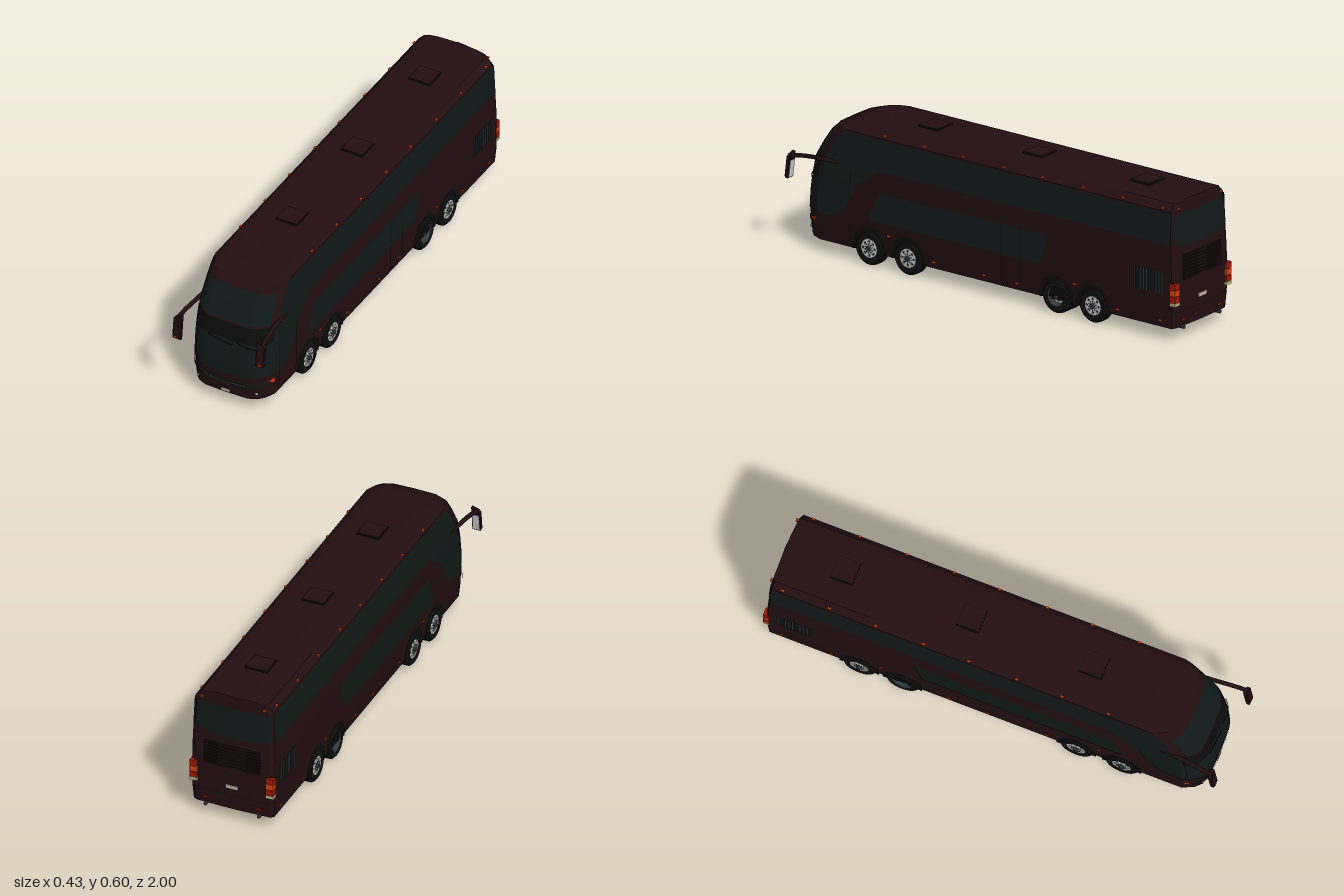
import * as THREE from 'three';
import { toCreasedNormals } from 'three/addons/utils/BufferGeometryUtils.js';

const mat = (color) => new THREE.MeshStandardMaterial({ color, side: THREE.DoubleSide });
const paint = mat(0x220e11), glass = mat(0x101a18), black = mat(0x0c0c0d), rubber = mat(0x111111);
const metal = mat(0xcccccc), red = mat(0xa01808), orange = mat(0xd8400c), lamp = mat(0xc8bc80);
const plateMat = mat(0xc4b8a4), trim = mat(0x30383a);

// piecewise linear curve through [input, output] points
const curve = (pts) => (t) => {
  if (t <= pts[0][0]) return pts[0][1];
  for (let i = 1; i < pts.length; i++) {
    const [a, b] = pts[i - 1], [c, d] = pts[i];
    if (t <= c) return b + (d - b) * (t - a) / (c - a);
  }
  return pts[pts.length - 1][1];
};

// body rules: half width, nose and tail by height; corner rounding across the width
const levels = [0.055, 0.12, 0.17, 0.25, 0.32, 0.4, 0.47, 0.52, 0.555, 0.585, 0.593, 0.596];
const halfWidth = curve([[0.055, 0.18], [0.12, 0.185], [0.32, 0.185], [0.4, 0.183], [0.555, 0.175], [0.585, 0.147], [0.593, 0.1], [0.596, 0]]);
const nose = curve([[0.055, 0.93], [0.17, 0.94], [0.25, 0.935], [0.32, 0.925], [0.4, 0.908], [0.47, 0.868], [0.52, 0.835], [0.555, 0.8], [0.585, 0.72], [0.593, 0.68], [0.596, 0.62]]);
const tail = curve([[0.055, -0.988], [0.2, -0.996], [0.35, -0.99], [0.596, -0.978]]);
const cornerPts = [[0, 0], [0.55, 0.003], [0.75, 0.018], [0.88, 0.042], [1, 0.09]];
const corner = curve(cornerPts), cornerInv = curve(cornerPts.map(([a, b]) => [b, a]));
const rearCorner = curve([[0, 0], [0.9, 0.005], [1, 0.015]]);

const frontAt = (u, y, e) => [u * (halfWidth(y) + e), y, nose(y) - corner(Math.abs(u)) + e];
const rearAt = (u, y, e) => [u * (halfWidth(y) + e), y, tail(y) + rearCorner(Math.abs(u)) - e];
const sideAt = (s, z, y, e) => [s * (halfWidth(y) * cornerInv(nose(y) - z) + e), y, z];

// grid surface from fn(a, b), a and b in 0..1
function grid(fn, nu, nv) {
  const pos = [], idx = [];
  for (let j = 0; j <= nv; j++) for (let i = 0; i <= nu; i++) pos.push(...fn(i / nu, j / nv));
  for (let j = 0; j < nv; j++) for (let i = 0; i < nu; i++) {
    const a = j * (nu + 1) + i, d = a + nu + 1;
    idx.push(a, a + 1, d + 1, a, d + 1, d);
  }
  const g = new THREE.BufferGeometry();
  g.setAttribute('position', new THREE.Float32BufferAttribute(pos, 3));
  g.setIndex(idx);
  g.computeVertexNormals();
  return g;
}
const val = (f, t) => (typeof f === 'function' ? f(t) : f);
const mix = THREE.MathUtils.lerp;

export function createModel() {
  const model = new THREE.Group();
  const add = (name, geo, m, pos = [0, 0, 0], parent = model) => {
    const mesh = new THREE.Mesh(geo, m);
    mesh.name = name;
    mesh.position.set(...pos);
    parent.add(mesh);
    return mesh;
  };
  const box = (name, m, size, pos, parent) => add(name, new THREE.BoxGeometry(...size), m, pos, parent);
  // panels that lie on the front, rear and sides
  const endPanel = (at) => (name, m, u0, u1, lo, hi, e = 0.003) =>
    add(name, grid((a, b) => {
      const u = mix(u0, u1, a);
      return at(u, mix(val(lo, u), val(hi, u), b), e);
    }, 32, 10), m);
  const frontPanel = endPanel(frontAt), rearPanel = endPanel(rearAt);
  const sidePanel = (name, m, s, y0, y1, z0, z1, e = 0.002) =>
    add(name, grid((a, b) => {
      const y = mix(y0, y1, b);
      return sideAt(s, mix(val(z0, y), val(z1, y), a), y, e);
    }, 24, 16), m);

  // body shell: plan outlines stacked by height
  const us = [-1, -0.88, -0.75, -0.55, 0, 0.55, 0.75, 0.88, 1];
  const ring = (y, k = 1) => {
    const pts = [...us.map((u) => frontAt(u, y, 0)), ...[1, 0.9, 0, -0.9, -1].map((u) => rearAt(u, y, 0))];
    pts.push(pts[0]);
    return pts.map(([x, h, z]) => [x * k, h, z]);
  };
  const loft = (rings) => grid((a, b) => rings[Math.round(b * (rings.length - 1))][Math.round(a * 14)], 14, rings.length - 1);
  add('body', toCreasedNormals(loft(levels.map((y) => ring(y))), 0.45), paint);
  add('underside', loft([ring(0.055, 0), ring(0.055)]), black);

  // windscreens and front trim
  frontPanel('upperWindscreen', glass, -0.9, 0.9, (u) => 0.405 + 0.006 * u * u, 0.524);
  frontPanel('windscreenBand', black, -0.96, 0.96, 0.325, (u) => 0.398 + 0.006 * u * u);
  frontPanel('lowerWindscreen', glass, -0.96, 0.96, (u) => 0.16 + 0.02 * u * u, 0.325);
  for (const y of [0.1, 0.111])
    frontPanel('grilleBar', trim, -0.5, 0.5, (u) => y + 0.02 * Math.abs(u), (u) => y + 0.005 + 0.02 * Math.abs(u), 0.006);
  frontPanel('grilleRecess', black, -0.52, 0.52, (u) => 0.097 + 0.02 * Math.abs(u), (u) => 0.12 + 0.02 * Math.abs(u));
  box('frontPlate', plateMat, [0.04, 0.012, 0.006], [0, 0.068, 0.933]);
  for (const s of [-1, 1]) {
    frontPanel('headlight', glass, s * 0.5, s * 0.92, (u) => 0.1 + 0.025 * Math.abs(u), (u) => 0.108 + 0.04 * Math.abs(u));
    frontPanel('indicator', orange, s * 0.9, s * 0.99, (u) => 0.145 - 0.25 * (Math.abs(u) - 0.9), (u) => 0.14 + 0.17 * (Math.abs(u) - 0.9), 0.005);
    frontPanel('fogLightRecess', black, s * 0.66, s * 0.8, 0.079, 0.095);
    const fog = add('fogLight', new THREE.SphereGeometry(0.007, 12, 8), lamp, frontAt(s * 0.74, 0.087, 0.002));
    fog.scale.z = 0.6;
  }
  for (const [u0, u1] of [[0.25, 0.85], [-0.45, 0.15]]) {
    const pts = [0, 0.25, 0.5, 0.75, 1].map((t) => new THREE.Vector3(...frontAt(mix(u0, u1, t), 0.325 - 0.018 * Math.sqrt(t), 0.007)));
    add('wiper', new THREE.TubeGeometry(new THREE.CatmullRomCurve3(pts), 12, 0.0015, 5), black);
  }

  // sides
  const roofLights = [0.515, 0.31, 0.11, -0.1, -0.3, -0.51, -0.715, -0.92];
  const skirtLights = [[0.48, 0.147], [-0.48, 0.147], [0.25, 0.083], [-0.01, 0.083], [-0.18, 0.083], [-0.7, 0.083], [-0.92, 0.083]];
  for (const s of [-1, 1]) {
    sidePanel('upperSideWindow', glass, s, 0.415, 0.548, -0.97, (y) => nose(y) - 0.09);
    sidePanel('frontQuarterWindow', glass, s, 0.17, 0.415, curve([[0.17, 0.8], [0.19, 0.74], [0.23, 0.7], [0.33, 0.65], [0.415, 0.53]]), (y) => nose(y) - 0.075);
    sidePanel('lowerSideWindow', glass, s, 0.195, 0.322, (y) => -0.3 - 0.3 * (y - 0.195), (y) => 0.585 - 0.45 * (y - 0.195));
    sidePanel('engineVent', black, s, 0.2, 0.297, -0.94, -0.78);
    for (let i = 0; i < 10; i++) box('ventSlat', trim, [0.004, 0.094, 0.004], [s * 0.1865, 0.248, -0.932 + i * 0.016]);
    for (const z of roofLights) box('roofMarkerLight', orange, [0.008, 0.007, 0.014], [s * 0.168, 0.566, z]);
    for (const [z, y] of skirtLights) box('skirtMarkerLight', orange, [0.006, 0.007, 0.014], [s * (halfWidth(y) + 0.001), y, z]);

    // tail lamps wrapping the corner
    [[red, 0.24], [orange, 0.212], [red, 0.184], [lamp, 0.163]].forEach(([m, y], i) =>
      box('tailLamp', m, [0.034, i === 3 ? 0.013 : 0.025, 0.026], [s * 0.171, y, -0.986]));
    box('rearMarkerLight', orange, [0.014, 0.007, 0.008], [s * 0.14, 0.566, -0.981]);
    box('rearReflector', red, [0.025, 0.007, 0.006], [s * 0.12, 0.085, -0.99]);
    const exhaust = add('exhaustPipe', new THREE.CylinderGeometry(0.008, 0.008, 0.05, 10), trim, [s * 0.12, 0.052, -0.97]);
    exhaust.rotation.x = Math.PI / 2;

    // mirror on a forward reaching arm
    const mirror = new THREE.Group();
    mirror.name = 'mirror';
    model.add(mirror);
    const arm = [[0.178, 0.408, 0.75], [0.185, 0.407, 0.85], [0.193, 0.402, 0.93], [0.197, 0.392, 0.972], [0.198, 0.37, 0.985]];
    const path = new THREE.CatmullRomCurve3(arm.map(([x, y, z]) => new THREE.Vector3(s * x, y, z)));
    add('mirrorArm', new THREE.TubeGeometry(path, 20, 0.0095, 8), paint, [0, 0, 0], mirror);
    const head = new THREE.Shape([[-0.017, -0.05], [0.014, -0.05], [0.017, -0.045], [0.017, 0.04], [0.008, 0.05], [-0.017, 0.058]].map(([x, y]) => new THREE.Vector2(s * x, y)));
    const housing = add('mirrorHousing', new THREE.ExtrudeGeometry(head, { depth: 0.012, bevelSize: 0.003, bevelThickness: 0.003, bevelSegments: 1 }), paint, [s * 0.195, 0.348, 0.978], mirror);
    housing.rotation.x = -0.12;
    const face = box('mirrorGlass', metal, [0.029, 0.075, 0.002], [s * 0.195, 0.338, 0.9745], mirror);
    face.rotation.x = -0.12;
    box('mirrorLight', orange, [0.014, 0.008, 0.004], [s * 0.199, 0.307, 0.999], mirror);
  }
  // passenger door seams on the left
  for (const z of [0.68, 0.82]) sidePanel('doorSeam', black, 1, 0.07, 0.39, z - 0.002, z + 0.002, 0.0035);
  for (const z of [-0.1, -0.2]) sidePanel('rearDoorSeam', black, 1, 0.07, 0.33, z - 0.002, z + 0.002, 0.0035);

  // rear
  rearPanel('rearWindow', glass, -0.93, 0.93, (u) => 0.4 + 0.035 * u ** 4, 0.54);
  rearPanel('rearVent', black, -0.7, 0.7, 0.255, 0.365, 0.002);
  for (let i = 0; i < 8; i++) box('rearLouvre', paint, [0.25, 0.006, 0.006], [0, 0.262 + i * 0.0137, tail(0.262 + i * 0.0137) - 0.002]);
  box('rearPlate', plateMat, [0.055, 0.016, 0.004], [0, 0.165, -0.996]);
  rearPanel('bumperSeam', black, -0.95, 0.95, 0.122, 0.126, 0.002);

  // roof hatches
  for (const z of [0.385, -0.155, -0.71]) {
    box('hatchFrame', black, [0.102, 0.006, 0.1], [0, 0.596, z]);
    box('hatch', paint, [0.096, 0.01, 0.094], [0, 0.598, z]);
  }

  // wheels, built with the axle on y and then turned outwards
  const R = 0.073;
  const v = (pts) => pts.map(([x, y]) => new THREE.Vector2(x, y));
  const tyre = toCreasedNormals(new THREE.LatheGeometry(v([[0.042, -0.025], [0.062, -0.027], [R, -0.017], [R, 0.017], [0.062, 0.027], [0.042, 0.025], [0.042, -0.025]]), 24), 0.5);
  const disc = new THREE.Shape().absarc(0, 0, 0.041, 0, Math.PI * 2);
  for (let i = 0; i < 8; i++) {
    const a = i * Math.PI / 4;
    disc.holes.push(new THREE.Path().absarc(0.03 * Math.cos(a), 0.03 * Math.sin(a), 0.0055, 0, Math.PI * 2, true));
  }
  const rim = new THREE.ExtrudeGeometry(disc, { depth: 0.006, bevelEnabled: false, curveSegments: 10 }).rotateX(-Math.PI / 2);
  const dish = new THREE.LatheGeometry(v([[0.043, 0.026], [0.038, 0.022], [0.034, 0.004], [0.02, 0]]), 24);
  const arch = new THREE.CircleGeometry(0.088, 14, -0.229, Math.PI + 0.458);
  for (const s of [-1, 1]) for (const z of [0.58, 0.38, -0.385, -0.575]) {
    const dual = z === -0.385;
    add('wheelArch', arch, black, [s * 0.187, 0.075, z]).rotation.y = Math.PI / 2;
    const wheel = new THREE.Group();
    wheel.name = 'wheel';
    wheel.position.set(s * 0.166, R, z);
    wheel.rotation.z = -s * Math.PI / 2;
    model.add(wheel);
    add('tyre', tyre, rubber, [0, 0, 0], wheel);
    add('wheelBacking', new THREE.CylinderGeometry(0.042, 0.042, 0.006, 24), black, [0, dual ? -0.005 : 0.008, 0], wheel);
    add('innerRim', new THREE.CylinderGeometry(0.04, 0.04, 0.004, 24), trim, [0, -0.018, 0], wheel);
    if (dual) {
      add('innerTyre', tyre, rubber, [0, -0.052, 0], wheel);
      add('innerHub', new THREE.CylinderGeometry(0.043, 0.043, 0.03, 20), black, [0, -0.052, 0], wheel);
      add('rimDish', dish, trim, [0, 0, 0], wheel);
    }
    const rimMesh = add('rim', rim, metal, [0, dual ? 0 : 0.018, 0], wheel);
    if (dual) rimMesh.scale.set(0.8, 1, 0.8);
    add('hub', new THREE.CylinderGeometry(0.01, 0.013, 0.014, 14), trim, [0, dual ? 0.012 : 0.027, 0], wheel);
    for (let i = 0; i < 10; i++) {
      const a = i * Math.PI / 5;
      add('wheelNut', new THREE.CylinderGeometry(0.002, 0.002, 0.005, 6), trim, [0.019 * Math.cos(a), dual ? 0.008 : 0.026, 0.019 * Math.sin(a)], wheel);
    }
  }
  return model;
}
